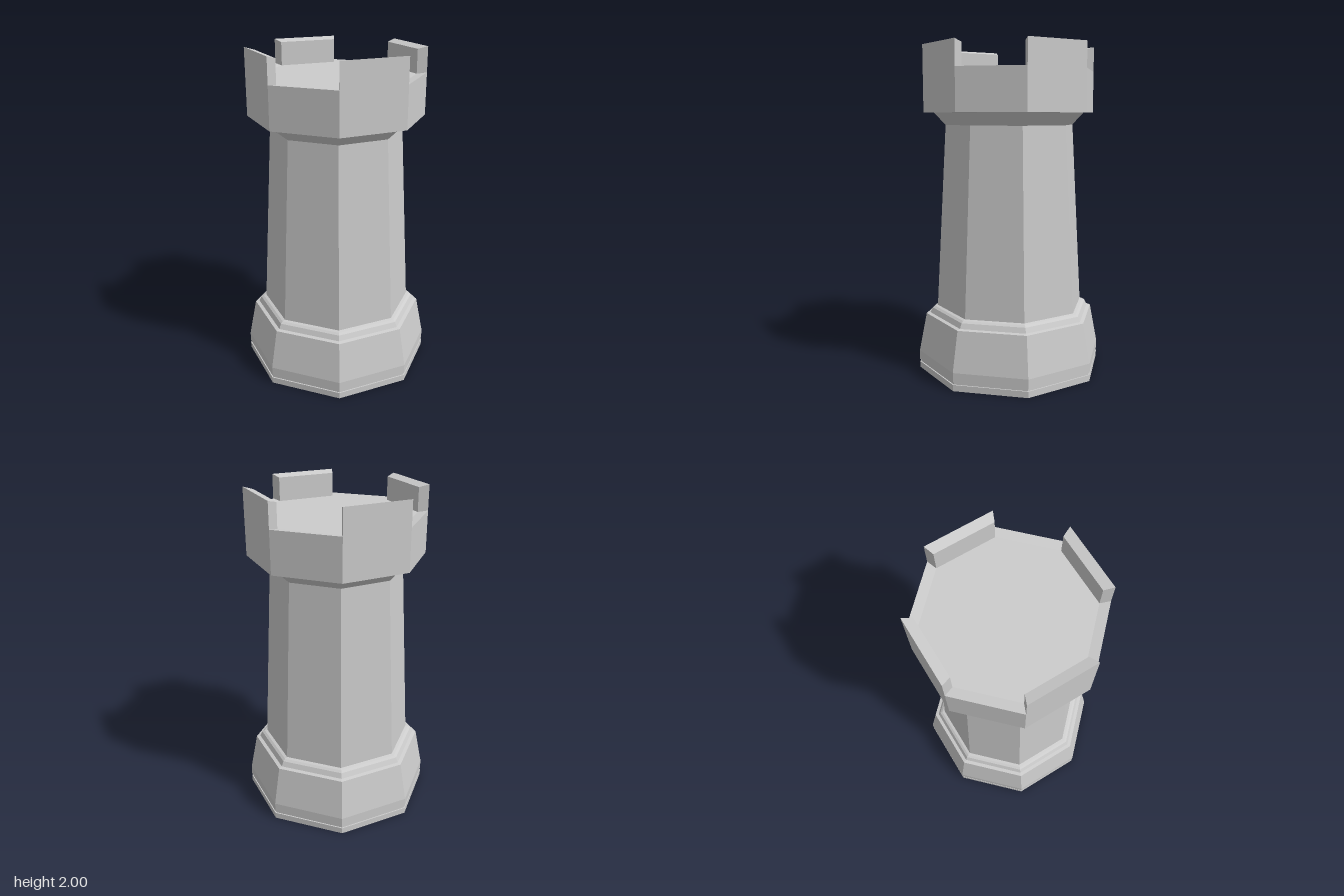
import * as THREE from 'three';

const SIDES = 8;
const STEP = (Math.PI * 2) / SIDES;
const material = new THREE.MeshStandardMaterial({ color: 0xcccccc, flatShading: true });

// Eight-sided solid turned from [radius, height] pairs, listed bottom to top
function turned(name, profile) {
  const points = profile.map(([r, y]) => new THREE.Vector2(r, y));
  const mesh = new THREE.Mesh(new THREE.LatheGeometry(points, SIDES), material);
  mesh.name = name;
  return mesh;
}

// Wall block spanning one side of the octagon: a box bent to the two corner angles
function merlon(side) {
  const geometry = new THREE.BoxGeometry(1, 1, 1);
  const pos = geometry.attributes.position;
  for (let i = 0; i < pos.count; i++) {
    const angle = (side + 0.5 + pos.getX(i)) * STEP;
    const outer = pos.getZ(i) > 0;
    const radius = outer ? 0.53 : 0.47;
    const top = outer ? 2 : 1.985; // top slopes inward
    const bottom = outer ? 1.85 : 1.842;
    pos.setXYZ(i, Math.sin(angle) * radius, pos.getY(i) > 0 ? top : bottom, Math.cos(angle) * radius);
  }
  geometry.computeVertexNormals();
  const mesh = new THREE.Mesh(geometry, material);
  mesh.name = 'merlon';
  return mesh;
}

export function createModel() {
  const tower = new THREE.Group();
  tower.name = 'rookTower';

  // Foot with a thin groove, sloped plinth and stepped collar
  tower.add(turned('base', [
    [0, 0], [0.58, 0], [0.58, 0.038], [0.572, 0.038], [0.572, 0.052], [0.58, 0.052],
    [0.58, 0.11], [0.533, 0.35], [0.51, 0.355], [0.495, 0.385], [0.48, 0.395], [0.462, 0.4],
  ]));

  // Tapering shaft
  tower.add(turned('shaft', [[0.462, 0.4], [0.398, 1.525]]));

  // Flared neck, overhanging parapet wall and slightly dished floor
  tower.add(turned('crown', [
    [0.398, 1.525], [0.47, 1.6], [0.53, 1.6], [0.53, 1.85], [0.47, 1.842], [0, 1.842],
  ]));

  // Merlons on every other side
  const battlements = new THREE.Group();
  battlements.name = 'battlements';
  for (let side = 1; side < SIDES; side += 2) battlements.add(merlon(side));
  tower.add(battlements);

  return tower;
}
